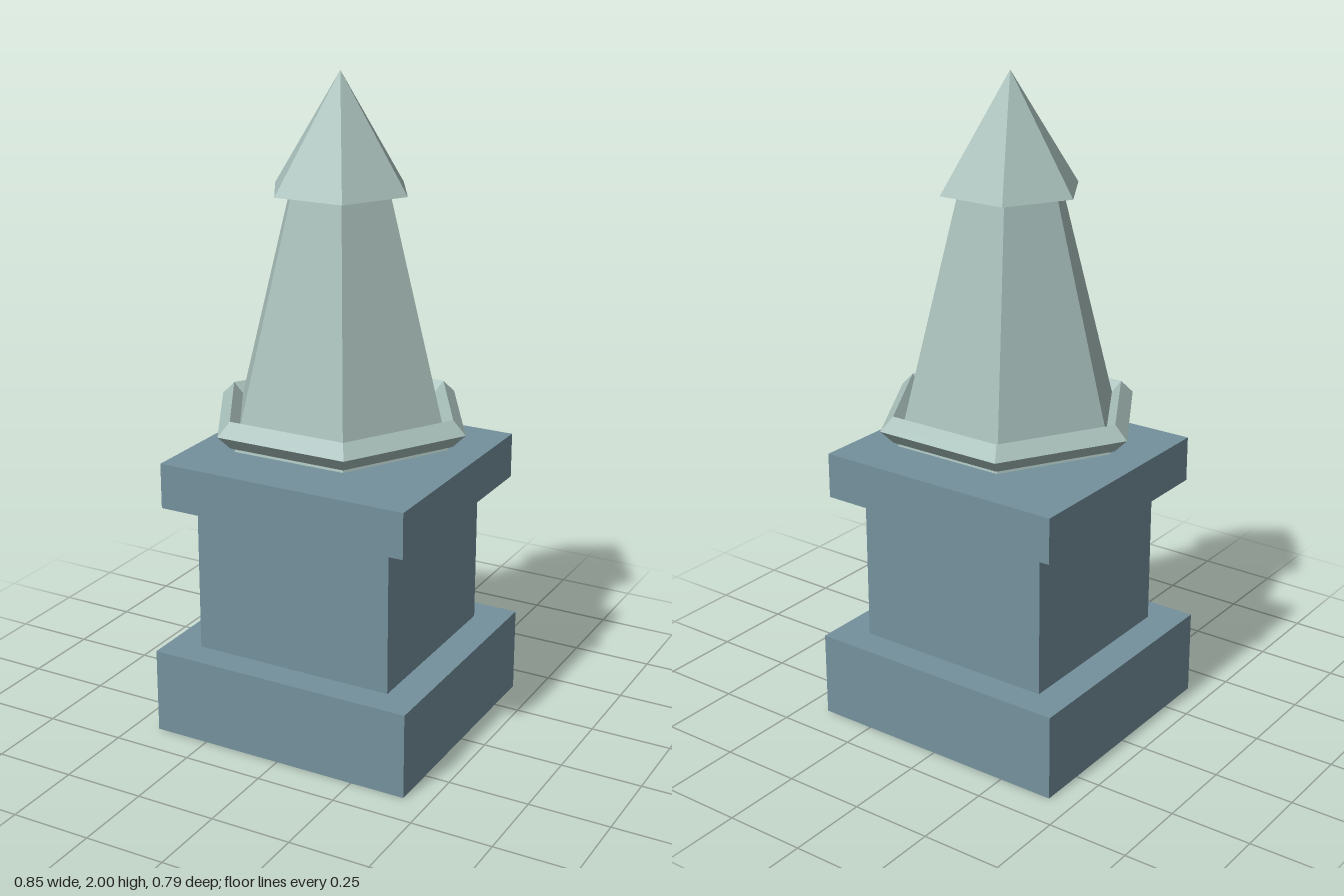
import * as THREE from 'three';

export function createModel() {
  const model = new THREE.Group();
  model.name = 'spireMonument';

  const slate = new THREE.MeshStandardMaterial({ color: 0x74919c });
  slate.name = 'slate blue stone';
  const pale = new THREE.MeshStandardMaterial({ color: 0xa8bfba });
  pale.name = 'pale green stone';

  // Adds a faceted part: unshared corners give each face its own normal
  function add(parent, name, geometry, material, y) {
    const faceted = geometry.toNonIndexed();
    faceted.computeVertexNormals();
    const mesh = new THREE.Mesh(faceted, material);
    mesh.name = name;
    mesh.position.y = y;
    parent.add(mesh);
  }

  // Square pedestal: plinth, shaft and cap slab
  const pedestal = new THREE.Group();
  pedestal.name = 'pedestal';
  model.add(pedestal);
  const slabs = [
    ['plinth', 0.845, 0.785, 0, 0.265],
    ['shaft', 0.64, 0.6, 0.265, 0.73],
    ['capSlab', 0.8, 0.74, 0.73, 0.87],
  ];
  for (const [name, width, depth, y0, y1] of slabs) {
    add(pedestal, name, new THREE.BoxGeometry(width, y1 - y0, depth), slate, (y0 + y1) / 2);
  }

  // Six-sided spire floating just above the pedestal, corners on the x axis
  const spire = new THREE.Group();
  spire.name = 'spire';
  model.add(spire);
  const hexTaper = (top, bottom, y0, y1) =>
    new THREE.CylinderGeometry(top, bottom, y1 - y0, 6, 1, false, Math.PI / 2);
  add(spire, 'spireBody', hexTaper(0.163, 0.358, 0.927, 1.66), pale, (0.927 + 1.66) / 2);
  add(spire, 'spireTip', hexTaper(0, 0.217, 1.66, 2), pale, (1.66 + 2) / 2);

  // Diamond-section collar round the foot of the spire
  add(spire, 'collar', new THREE.TorusGeometry(0.372, 0.041, 4, 6).rotateX(Math.PI / 2), pale, 0.981);

  return model;
}
